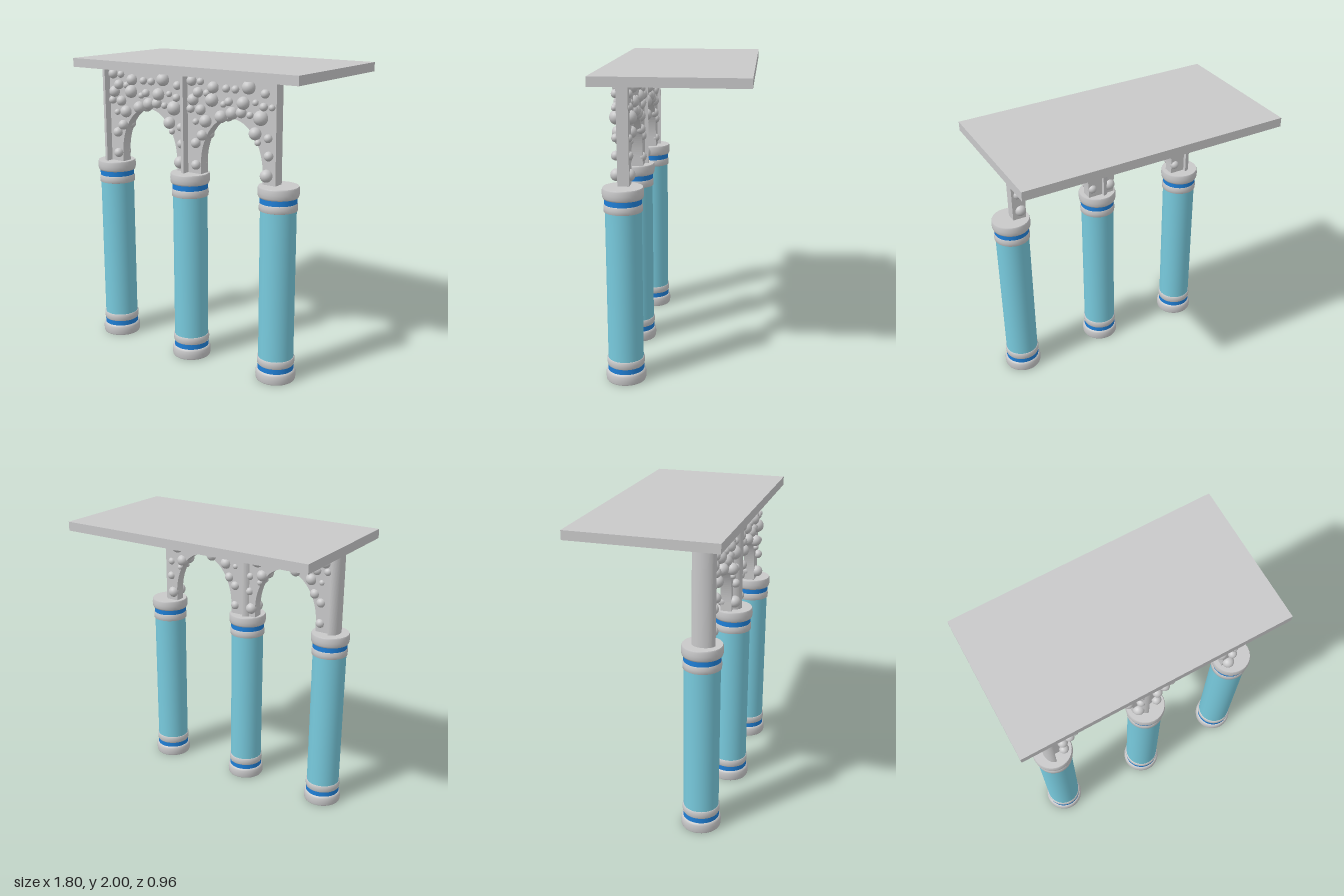
import * as THREE from 'three';

const mat = (name, color, extra = {}) => Object.assign(new THREE.MeshStandardMaterial({ color, ...extra }), { name });
const stone = mat('stone', 0xc8c8c9);
const teal = mat('teal', 0x78cadd);
const blue = mat('blue', 0x1f80d8);

// Pebbles on one panel: offset from arch centre, height, radius (hundredths)
const PEBBLES = [
  [-30, 190, 3.3], [-23, 190, 2.4], [-25, 183, 3.3], [-13, 187, 3.7], [-3, 187, 2.5], [4, 187, 2.5],
  [14, 189, 4.3], [26, 186, 2.8], [-29, 178, 3.8], [-18, 183, 2.3], [-14, 179, 4.3], [-5, 177, 2.1],
  [-1, 179, 2.7], [10, 179, 4.1], [19, 180, 2], [25, 178, 2.6], [31, 178, 2], [-31, 172, 2.7],
  [-23, 172, 3.4], [-27, 164, 2.1], [-19, 165, 4], [-7, 169, 4], [1.5, 172, 4], [8.5, 173, 3.4],
  [15, 172, 2.2], [23, 171, 4.7], [19, 161, 4], [21, 155.5, 2], [28.5, 159, 2.7], [-22, 155.5, 3.4],
  [-27, 150, 3.3], [29, 148, 3], [-27, 135.5, 3.2], [27.5, 135.5, 4],
];

function add(group, name, geometry, material) {
  const mesh = new THREE.Mesh(geometry, material);
  mesh.name = name;
  group.add(mesh);
  return mesh;
}

// Turned band from [radius, y] points; each straight run keeps its own sharp edges
function turned(points) {
  const pts = points.map(([r, y]) => new THREE.Vector2(r, y));
  return new THREE.LatheGeometry(pts, 40);
}

function column(name, x, z) {
  const g = new THREE.Group();
  g.name = name;
  g.position.set(x, 0, z);
  add(g, 'shaft', new THREE.CylinderGeometry(0.115, 0.115, 0.99, 40, 1, true).translate(0, 0.648, 0), teal);
  // The same mouldings finish the foot and, upside down, the head
  for (const top of [false, true]) {
    const end = new THREE.Group();
    end.name = top ? 'capital' : 'base';
    add(end, 'cushion', turned([[0.126, 0], [0.13, 0.008], [0.132, 0.035], [0.13, 0.058], [0.124, 0.07], [0.117, 0.072]]), stone);
    add(end, 'endDisc', new THREE.CircleGeometry(0.126, 40).rotateX(Math.PI / 2), stone);
    add(end, 'blueBand', new THREE.CylinderGeometry(0.118, 0.118, 0.036, 40, 1, true).translate(0, 0.088, 0), blue);
    add(end, 'ring', turned([[0.117, 0.105], [0.121, 0.112], [0.123, 0.13], [0.122, 0.153], [0.114, 0.156]]), stone);
    if (top) {
      end.rotation.x = Math.PI;
      end.position.y = 1.294;
    }
    g.add(end);
  }
  return g;
}

function archPanel(name, x) {
  const g = new THREE.Group();
  g.name = name;
  g.position.x = x;

  // Spandrel wall with an elliptical arch cut from below
  const wall = new THREE.Shape();
  wall.moveTo(-0.345, 1.285);
  wall.lineTo(-0.24, 1.285);
  wall.lineTo(-0.24, 1.36);
  wall.absellipse(0, 1.36, 0.24, 0.325, Math.PI, 0, true);
  wall.lineTo(0.24, 1.285);
  wall.lineTo(0.334, 1.285);
  wall.lineTo(0.334, 1.945);
  wall.lineTo(-0.345, 1.945);
  wall.closePath();
  add(g, 'archWall', new THREE.ExtrudeGeometry(wall, { depth: 0.074, bevelEnabled: false, curveSegments: 32 })
    .translate(0, 0, 0.276), stone);

  // Half-round post along the wall's outer end
  const half = new THREE.Shape();
  half.absellipse(0, 0, 0.056, 0.075, Math.PI / 2, Math.PI * 1.5, false);
  half.closePath();
  add(g, 'post', new THREE.ExtrudeGeometry(half, { depth: 0.66, bevelEnabled: false, curveSegments: 20 })
    .rotateX(-Math.PI / 2).translate(-0.345, 1.285, 0.325), stone);

  // Pebbles set into both faces
  for (const [dx, y, r] of PEBBLES) {
    for (const z of [0.364, 0.284]) {
      add(g, 'pebble', new THREE.SphereGeometry(r / 100, 20, 14).translate(dx / 100, y / 100, z), stone);
    }
  }
  return g;
}

export function createModel() {
  const model = new THREE.Group();
  model.name = 'arcade';
  add(model, 'roofSlab', new THREE.BoxGeometry(1.8, 0.06, 0.96).translate(0, 1.97, 0), stone);
  model.add(column('rightColumn', -0.675, 0.315));
  model.add(column('middleColumn', 0, 0.34));
  model.add(column('leftColumn', 0.675, 0.315));
  model.add(archPanel('rightArch', -0.34));
  model.add(archPanel('leftArch', 0.338));
  return model;
}
